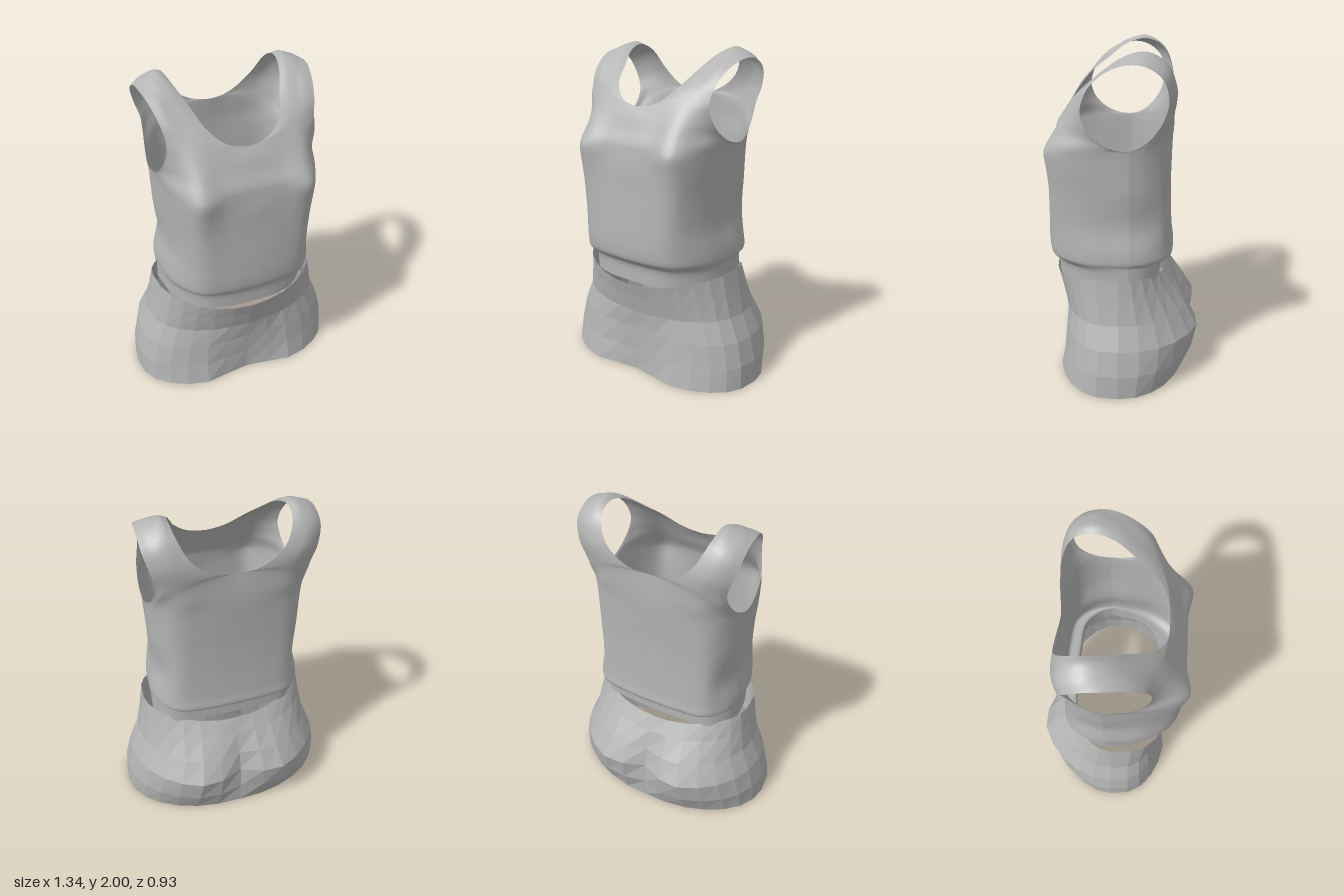
import * as THREE from 'three';
import { mergeVertices } from 'three/addons/utils/BufferGeometryUtils.js';

// Half body rows: y, side x, front flank x, z, bust x, z, mid front z, centre front z, back z
const BODY = [
  [0.64, 0.475, 0.43, 0.19, 0.30, 0.35, 0.395, 0.405, -0.235],
  [0.73, 0.475, 0.43, 0.20, 0.30, 0.36, 0.40, 0.41, -0.235],
  [0.76, 0.475, 0.44, 0.22, 0.32, 0.385, 0.425, 0.435, -0.24],
  [0.78, 0.483, 0.445, 0.23, 0.33, 0.40, 0.445, 0.455, -0.31],
  [0.85, 0.48, 0.44, 0.24, 0.33, 0.41, 0.455, 0.465, -0.305],
  [1.00, 0.45, 0.42, 0.25, 0.33, 0.415, 0.45, 0.46, -0.295],
  [1.20, 0.47, 0.42, 0.27, 0.34, 0.42, 0.44, 0.445, -0.29],
  [1.32, 0.475, 0.425, 0.29, 0.34, 0.435, 0.435, 0.44, -0.292],
  [1.42, 0.48, 0.43, 0.29, 0.335, 0.45, 0.43, 0.425, -0.294],
  [1.47, 0.485, 0.435, 0.28, 0.33, 0.43, 0.42, 0.415, -0.296],
];
// Rows from the armhole edge to the centre line or neck edge, five points each
const CHEST = [
  [0.48, 1.50, 0.10, 0.44, 1.53, 0.23, 0.325, 1.54, 0.385, 0.17, 1.54, 0.38, 0, 1.54, 0.38],
  [0.465, 1.58, 0.195, 0.425, 1.60, 0.255, 0.32, 1.61, 0.34, 0.17, 1.61, 0.345, 0, 1.62, 0.345],
  [0.445, 1.68, 0.23, 0.40, 1.68, 0.26, 0.31, 1.68, 0.30, 0.17, 1.675, 0.31, 0, 1.67, 0.31],
  [0.445, 1.75, 0.215, 0.39, 1.75, 0.235, 0.31, 1.74, 0.26, 0.22, 1.725, 0.28, 0.12, 1.695, 0.295],
  [0.46, 1.82, 0.18, 0.41, 1.82, 0.19, 0.35, 1.81, 0.20, 0.29, 1.80, 0.21, 0.22, 1.78, 0.225],
  [0.485, 1.90, 0.09, 0.43, 1.905, 0.10, 0.38, 1.90, 0.10, 0.32, 1.89, 0.105, 0.27, 1.87, 0.11],
  [0.51, 1.945, -0.03, 0.455, 1.96, -0.02, 0.41, 1.97, -0.01, 0.36, 1.97, -0.01, 0.32, 1.955, -0.01],
];
const SHOULDER_BACK = [
  [0.515, 1.935, -0.13, 0.475, 1.965, -0.13, 0.43, 1.985, -0.13, 0.38, 2.0, -0.13, 0.34, 1.985, -0.13],
  [0.51, 1.87, -0.22, 0.465, 1.895, -0.245, 0.42, 1.92, -0.25, 0.37, 1.935, -0.245, 0.33, 1.94, -0.235],
  [0.48, 1.76, -0.255, 0.44, 1.78, -0.28, 0.38, 1.80, -0.30, 0.32, 1.81, -0.30, 0.27, 1.82, -0.295],
  [0.455, 1.68, -0.245, 0.41, 1.69, -0.275, 0.33, 1.70, -0.30, 0.23, 1.71, -0.305, 0.14, 1.72, -0.30],
  [0.455, 1.60, -0.21, 0.42, 1.61, -0.25, 0.32, 1.64, -0.29, 0.16, 1.68, -0.295, 0, 1.695, -0.285],
  [0.47, 1.51, -0.13, 0.44, 1.53, -0.195, 0.33, 1.55, -0.28, 0.16, 1.56, -0.295, 0, 1.57, -0.295],
];

const vec = (x, y, z) => new THREE.Vector3(x, y, z);
const unpack = (row) => [0, 3, 6, 9, 12].map((i) => vec(row[i], row[i + 1], row[i + 2]));
const spline = (pts, steps) => {
  const curve = new THREE.CatmullRomCurve3(pts);
  const n = (pts.length - 1) * steps;
  return Array.from({ length: n + 1 }, (_, i) => curve.getPoint(i / n));
};
// Spline with corners at rows i and j; ghost end points steer the rim between them
const corneredSpline = (pts, i, j, before, after, steps) => [
  ...spline(pts.slice(0, i + 1), steps),
  ...spline([before, ...pts.slice(i, j + 1), after], steps).slice(steps + 1, -steps),
  ...spline(pts.slice(j), steps).slice(1),
];

// Geometry from vertices and triangle indices
function surface(points, index) {
  const g = new THREE.BufferGeometry();
  g.setAttribute('position', new THREE.Float32BufferAttribute(points.flatMap((p) => [p.x, p.y, p.z]), 3));
  g.setIndex(index);
  return g;
}

// One sheet running up the front, over the shoulder and down the back, mirrored in x
function topGeometry() {
  const front = BODY.map(([y, sx, ax, az, bx, bz, mz, cz]) =>
    [vec(sx, y, -0.03), vec(ax, y, az), vec(bx, y, bz), vec(0.17, y, mz), vec(0, y, cz)]);
  const back = BODY.map(([y, sx, , , , , , , kz]) =>
    [vec(sx, y, -0.03), vec(sx - 0.03, y, kz * 0.5), vec(0.36, y, kz * 0.87), vec(0.18, y, kz * 0.98), vec(0, y, kz)]);
  // The hem sits a little higher at the back
  [front[0], back[0]].forEach((row) => row.forEach((p) => { p.y -= 0.04 * p.z; }));
  const rows = [...front, ...CHEST.map(unpack), ...SHOULDER_BACK.map(unpack), ...back.reverse()];

  const [armhole, ...inner] = [0, 1, 2, 3, 4].map((c) => rows.map((r) => r[c]));
  const neck = inner.pop();
  const armStart = 9, armEnd = 23, neckStart = 12, neckEnd = 21, steps = 4;
  const mirrored = (p) => vec(-p.x, p.y, p.z);
  const columns = [
    corneredSpline(armhole, armStart, armEnd, armhole[armEnd - 1], armhole[armStart + 1], steps),
    ...inner.map((col) => spline(col, steps)),
    corneredSpline(neck, neckStart, neckEnd, mirrored(neck[neckStart + 1]), mirrored(neck[neckEnd - 1]), steps),
  ];
  const grid = columns[0].map((_, i) => spline(columns.map((col) => col[i]), 5));
  const n = grid[0].length;
  const points = [], index = [];
  for (const side of [1, -1]) {
    const base = points.length;
    grid.forEach((row, i) => row.forEach((p, j) => {
      points.push(vec(side * p.x, p.y, p.z));
      if (i === 0 || j === 0) return;
      const d = base + i * n + j, c = d - 1, b = d - n, a = b - 1;
      index.push(...(side > 0 ? [a, c, b, b, c, d] : [a, b, c, b, d, c]));
    }));
  }
  const g = mergeVertices(surface(points, index), 1e-3);
  g.computeVertexNormals();
  return g;
}

// Skirt rings: y, half width, front depth, front hollow, back depth, back hollow
const SKIRT = [
  [0, 0.672, 0.43, 0.08, -0.41, 0.01],
  [0.14, 0.665, 0.40, 0.05, -0.48, 0.07],
  [0.29, 0.63, 0.385, 0.03, -0.52, 0.12],
  [0.43, 0.57, 0.37, 0, -0.44, 0.07],
  [0.58, 0.54, 0.40, 0, -0.34, 0.02],
  [0.705, 0.52, 0.425, 0, -0.275, 0],
];

// Faceted skirt with a waist that dips at front and back
function skirtGeometry() {
  const sides = 28, points = [], index = [];
  SKIRT.forEach(([y, w, zf, hf, zb, hb], r) => {
    for (let i = 0; i < sides; i++) {
      const a = (i / sides) * Math.PI * 2;
      const x = w * Math.sin(a), c = Math.cos(a), depth = Math.abs(c);
      // Broad hollow between the thighs in front, sharp cleft behind
      const z = c > 0
        ? 0.02 + (zf - 0.02) * depth ** 0.75 - hf * Math.max(0, 1 - (x / 0.35) ** 2) ** 2
        : 0.02 + (zb - 0.02) * depth ** 0.95 + hb * Math.max(0, 1 - Math.abs(x) / 0.3) ** 1.5;
      const dip = (c > 0 ? 0.14 : 0.11) * c * c * (y / 0.705) ** 2;
      points.push(vec(x, y * (1 - dip), z));
      if (r === 0) continue;
      const lo = (r - 1) * sides, hi = r * sides, j = (i + 1) % sides;
      index.push(lo + i, lo + j, hi + j, lo + i, hi + j, hi + i);
    }
  });
  const g = surface(points, index).toNonIndexed();
  g.computeVertexNormals();
  return g;
}

export function createModel() {
  const group = new THREE.Group();
  group.name = 'outfit';
  const cloth = new THREE.MeshStandardMaterial({ color: 0xb4b4b4, side: THREE.DoubleSide });
  cloth.name = 'grey cloth';
  const add = (name, geometry) => {
    const mesh = new THREE.Mesh(geometry, cloth);
    mesh.name = name;
    group.add(mesh);
  };
  add('tankTop', topGeometry());
  add('skirt', skirtGeometry());
  return group;
}
